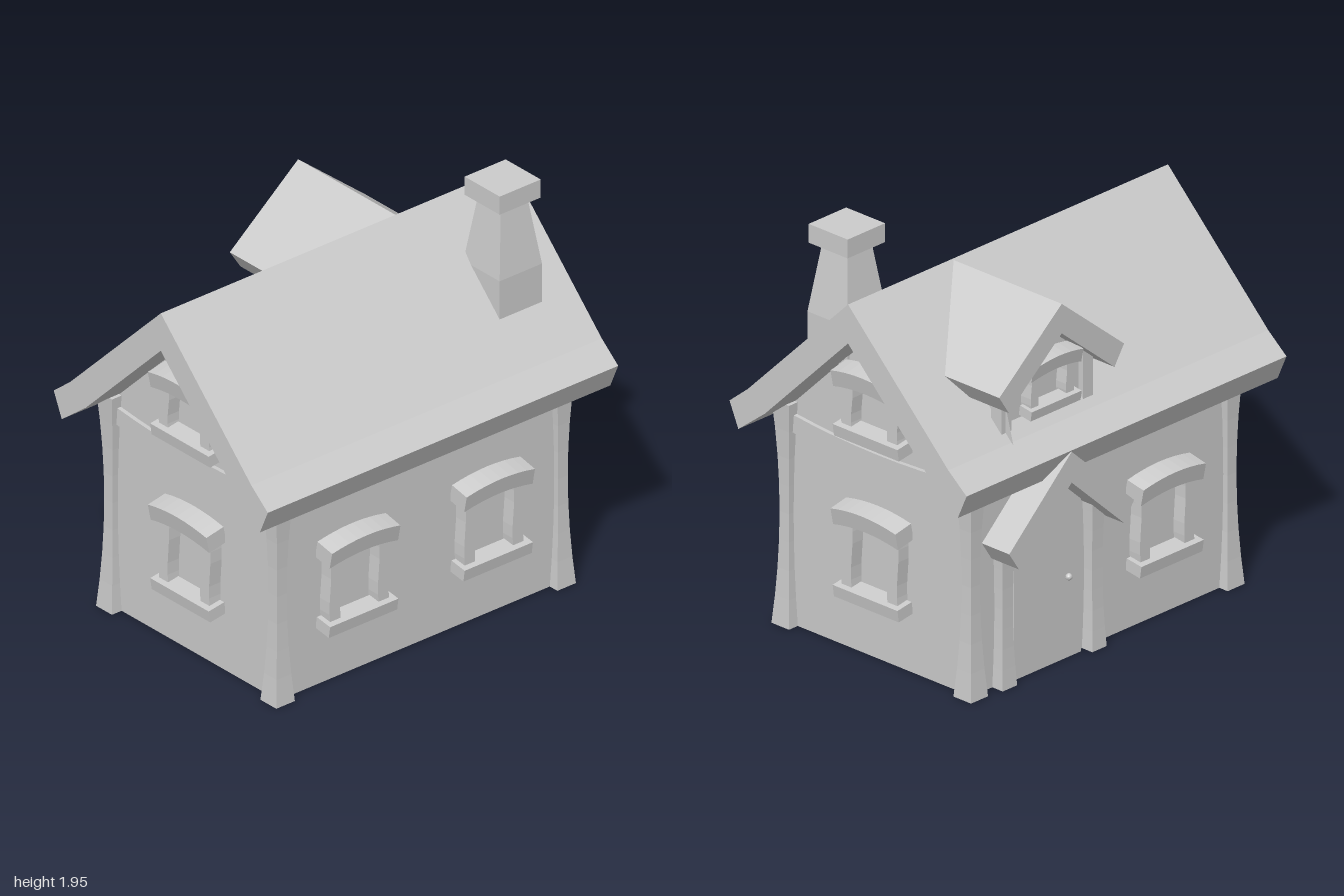
import * as THREE from 'three';

const grey = new THREE.MeshStandardMaterial({ color: 0xcccccc, flatShading: true, side: THREE.DoubleSide });
const WALL_X = 0.55, WALL_Z = 0.8, SIDE_Z = -0.345;

function mesh(name, geometry, x = 0, y = 0, z = 0) {
  const m = new THREE.Mesh(geometry, grey);
  m.name = name;
  m.position.set(x, y, z);
  return m;
}

function group(name, ...children) {
  const g = new THREE.Group();
  g.name = name;
  if (children.length) g.add(...children);
  return g;
}

// Moves every vertex of a geometry by a rule
function warp(geometry, rule) {
  const p = geometry.attributes.position;
  const v = new THREE.Vector3();
  for (let i = 0; i < p.count; i++) {
    rule(v.fromBufferAttribute(p, i));
    p.setXYZ(i, v.x, v.y, v.z);
  }
  geometry.computeVertexNormals();
  return geometry;
}

// Horizontal bar whose ends rise (or drop, if negative) along a curve
function bowedBar(w, h, d, rise) {
  return warp(new THREE.BoxGeometry(w, h, d, 8, 1, 1), v => { v.y += rise * (2 * v.x / w) ** 2; });
}

// Upright timber, thicker at both ends
function timber(height, end, waist) {
  const g = new THREE.BoxGeometry(2, height, 2, 1, 8, 1).translate(0, height / 2, 0);
  return warp(g, v => {
    const half = waist + (end - waist) * (2 * v.y / height - 1) ** 2;
    v.x *= half;
    v.z *= half;
  });
}

function polygon(points) {
  return new THREE.Shape(points.map(([x, y]) => new THREE.Vector2(x, y)));
}

// Mirrors the right half of a profile; first and last points lie on the centre line
function mirrored(half) {
  return polygon([...half, ...half.slice(1, -1).reverse().map(([x, y]) => [-x, y])]);
}

function extrude(shape, depth) {
  return new THREE.ExtrudeGeometry(shape, { depth, bevelEnabled: false });
}

// Window standing on a wall that faces +z, base at y = 0
function makeWindow(h) {
  const g = group('window');
  const sill = mesh('windowSill', new THREE.BoxGeometry(0.39, 0.058, 0.09), 0, 0.036, 0.045);
  const lintel = mesh('windowLintel', bowedBar(0.39, 0.082, 0.1, -0.025), 0, h - 0.053, 0.055);
  sill.rotation.x = 0.15;
  lintel.rotation.x = 0.2;
  g.add(sill, lintel);
  for (const s of [-1, 1]) {
    const len = h - 0.125;
    const jamb = warp(new THREE.BoxGeometry(0.06, len, 0.075, 1, 6, 1),
      v => { v.x += 0.005 * Math.sin(v.y / len * Math.PI * 2); });
    g.add(mesh('windowJamb', jamb, s * 0.138, 0.04 + len / 2, 0.027));
  }
  return g;
}

// Small gable roof facing -x, ridge at y = 0
function smallRoof(drop, xFront, xBack) {
  const tip = -drop - 0.092;
  const shape = mirrored([[0, 0], [0.39, -drop], [0.33, tip], [0, tip + 0.33 * drop / 0.39]]);
  return extrude(shape, xBack - xFront).rotateY(-Math.PI / 2).translate(xBack, 0, 0);
}

export function createModel() {
  const house = group('house');

  // Main roof with flared eaves
  const roofShape = mirrored([[0, 1.763], [0.603, 1.165], [0.713, 1.075], [0.66, 0.955], [0.5, 1.08], [0, 1.577]]);
  house.add(mesh('mainRoof', extrude(roofShape, 2).translate(0, 0, -1)));

  // Thin walls, open underneath
  const gable = mirrored([[0, 0], [WALL_X, 0], [WALL_X, 1.05], [0, 1.59]]);
  for (const s of [-1, 1]) {
    house.add(mesh(s > 0 ? 'frontWall' : 'backWall', new THREE.ShapeGeometry(gable), 0, 0, s * WALL_Z));
    const side = new THREE.PlaneGeometry(2 * WALL_Z, 1.06).rotateY(s * Math.PI / 2);
    house.add(mesh(s > 0 ? 'leftWall' : 'rightWall', side, s * WALL_X, 0.53, 0));
  }

  // Corner posts and sagging beams
  for (const sx of [-1, 1]) for (const sz of [-1, 1])
    house.add(mesh('cornerPost', timber(1.07, 0.053, 0.028), sx * 0.5475, 0, sz * 0.802));
  for (const s of [-1, 1]) {
    house.add(mesh('gableBeam', bowedBar(1.04, 0.085, 0.04, 0.03), 0, 0.942, s * WALL_Z));
    const beam = bowedBar(1.56, 0.085, 0.04, 0.022).rotateY(Math.PI / 2);
    house.add(mesh('sideBeam', beam, s * WALL_X, 0.942, 0));
  }

  // Windows: [x, y, z, height, turn]
  const places = [
    [WALL_X, 0.267, 0.39, 0.475, Math.PI / 2],
    [WALL_X, 0.267, -0.378, 0.475, Math.PI / 2],
    [-WALL_X, 0.267, 0.36, 0.475, -Math.PI / 2],
  ];
  for (const [z, turn] of [[WALL_Z, 0], [-WALL_Z, Math.PI]])
    places.push([0, 0.267, z, 0.475, turn], [0, 1.036, z, 0.366, turn]);
  for (const [x, y, z, h, turn] of places) {
    const w = makeWindow(h);
    w.position.set(x, y, z);
    w.rotation.y = turn;
    house.add(w);
  }

  // Chimney: square shaft with narrowing neck and flared cap
  const rings = [[0.121, 1.337], [0.121, 1.53], [0.078, 1.84], [0.117, 1.858], [0.117, 1.948], [0, 1.948]];
  const profile = rings.map(([half, y]) => new THREE.Vector2(half * Math.SQRT2, y));
  const chimney = new THREE.LatheGeometry(profile, 4).rotateY(Math.PI / 4);
  house.add(mesh('chimney', chimney, 0.305, 0, -0.69));

  // Dormer, its roof and body trimmed to the slope of the main roof
  const trim = v => { if (v.x > -0.3) v.x = -(1.763 - v.y) * 1.005; };
  const dormerRoof = warp(smallRoof(0.32, -0.655, 0).translate(0, 1.758, 0), trim);
  const dormerShape = mirrored([[0, 1.15], [0.26, 1.15], [0.26, 1.43], [0, 1.64]]);
  const dormerBody = warp(extrude(dormerShape, 0.54).rotateY(-Math.PI / 2), trim);
  const dormerWindow = makeWindow(0.36);
  dormerWindow.scale.setScalar(0.8);
  dormerWindow.position.set(-0.55, 1.235, 0);
  dormerWindow.rotation.y = -Math.PI / 2;
  const dormer = group('dormer', mesh('dormerRoof', dormerRoof), mesh('dormerBody', dormerBody), dormerWindow);
  for (const s of [-1, 1])
    dormer.add(mesh('dormerPost', new THREE.BoxGeometry(0.062, 0.3, 0.062), -0.537, 1.29, s * 0.255));
  dormer.position.z = SIDE_Z;
  house.add(dormer);

  // Doorway with a small porch roof
  const porch = group('doorway',
    mesh('porchRoof', smallRoof(0.36, -0.715, -0.53), 0, 1.07, 0),
    mesh('door', new THREE.BoxGeometry(0.17, 0.86, 0.42), -0.485, 0.43, 0),
    mesh('doorKnob', new THREE.SphereGeometry(0.016, 10, 8), -0.583, 0.39, 0.12));
  for (const s of [-1, 1])
    porch.add(mesh('doorPost', timber(0.76, 0.045, 0.032), -0.568, 0, s * 0.28));
  porch.position.z = SIDE_Z;
  house.add(porch);

  return house;
}
